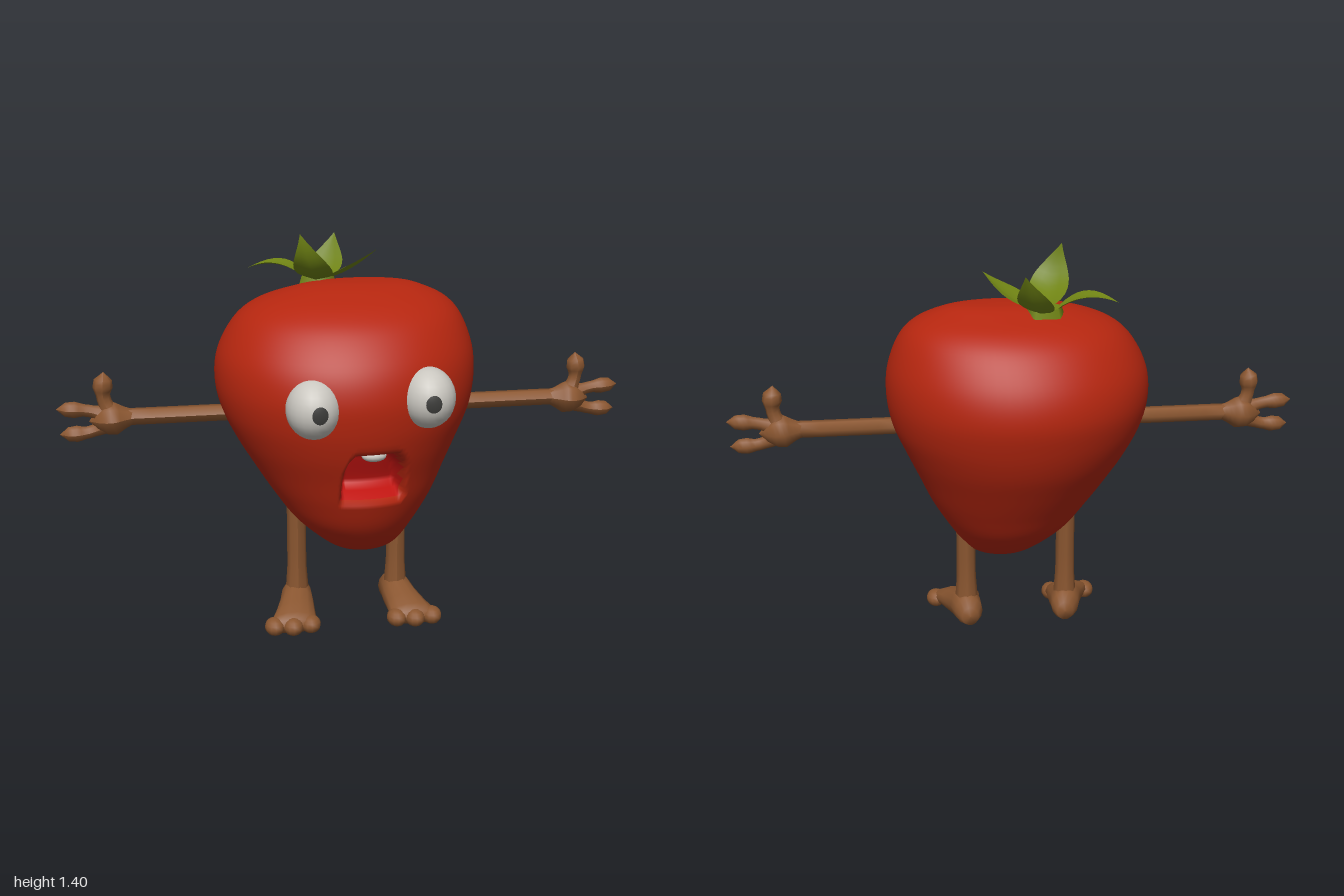
import * as THREE from 'three';

const material = (name, color, side = THREE.FrontSide) => {
  const m = new THREE.MeshStandardMaterial({ color, side });
  m.name = name;
  return m;
};
const red = material('berry red', 0xb5260f);
const mouthRed = material('mouth red', 0xc01410);
const brown = material('limb brown', 0x8a5630);
const white = material('eye white', 0xcac7c0);
const dark = material('pupil grey', 0x3c3c3a);
const green = material('leaf green', 0x708414, THREE.DoubleSide);

const V = (x, y, z) => new THREE.Vector3(x, y, z);
const { smoothstep } = THREE.MathUtils;

function add(parent, name, geometry, mat) {
  const mesh = new THREE.Mesh(geometry, mat);
  mesh.name = name;
  parent.add(mesh);
  return mesh;
}

// Surface from rows of points; closed grids wrap around. pick(i, j) sorts quads into two material groups.
function grid(cols, rows, point, closed, pick = () => 0) {
  const pos = [], lists = [[], []], w = closed ? cols : cols + 1;
  for (let j = 0; j <= rows; j++)
    for (let i = 0; i < w; i++) pos.push(...point(i / cols, j / rows, i, j).toArray());
  for (let j = 0; j < rows; j++)
    for (let i = 0; i < cols; i++) {
      const i2 = (i + 1) % w;
      const a = j * w + i, b = j * w + i2, c = b + w, d = a + w;
      lists[pick(a, b, c, d, pos)].push(a, b, c, a, c, d);
    }
  const g = new THREE.BufferGeometry();
  g.setAttribute('position', new THREE.Float32BufferAttribute(pos, 3));
  g.setIndex([...lists[0], ...lists[1]]);
  g.addGroup(0, lists[0].length, 0);
  if (lists[1].length) g.addGroup(lists[0].length, lists[1].length, 1);
  g.computeVertexNormals();
  return g;
}

// Tube whose radius follows a list of values along its path
function limb(points, radii, sides = 8) {
  const curve = new THREE.CatmullRomCurve3(points);
  const seg = (radii.length - 1) * 2;
  const g = new THREE.TubeGeometry(curve, seg, 1, sides);
  const p = g.attributes.position, v = V(0, 0, 0);
  for (let i = 0; i <= seg; i++) {
    const c = curve.getPointAt(i / seg), k = Math.floor(i / 2);
    const r = i % 2 ? (radii[k] + radii[k + 1]) / 2 : radii[k];
    for (let j = 0; j <= sides; j++) {
      const n = i * (sides + 1) + j;
      v.fromBufferAttribute(p, n).sub(c).multiplyScalar(r).add(c);
      p.setXYZ(n, v.x, v.y, v.z);
    }
  }
  g.computeVertexNormals();
  return g;
}

// Body profile: height, right edge, left edge, back edge, front edge
const profile = [
  [0.272, 0.045, 0.045, 0.045, 0.045], [0.28, -0.02, 0.11, -0.01, 0.1],
  [0.31, -0.085, 0.175, -0.075, 0.155], [0.4, -0.19, 0.24, -0.175, 0.235],
  [0.5, -0.265, 0.3, -0.245, 0.285], [0.6, -0.33, 0.345, -0.31, 0.322],
  [0.7, -0.39, 0.39, -0.37, 0.36], [0.8, -0.437, 0.432, -0.41, 0.385],
  [0.9, -0.457, 0.45, -0.43, 0.39], [1.0, -0.445, 0.445, -0.41, 0.36],
  [1.1, -0.39, 0.41, -0.35, 0.285], [1.16, -0.315, 0.36, -0.28, 0.2],
  [1.2, -0.2, 0.28, -0.185, 0.1], [1.22, -0.09, 0.2, -0.12, 0.02],
  [1.225, 0.05, 0.05, -0.05, -0.05],
];

// How far a point of the face lies inside the mouth outline
function mouthInset(x, y) {
  const t = Math.max(0, (y - 0.53) / 0.21);
  const half = 0.115 * Math.sqrt(Math.max(0, 1 - t ** 4));
  return Math.min((y - 0.52) * 0.6, 0.72 - y, half - Math.abs(x - 0.04));
}

function bodyGeometry() {
  const low = new THREE.CatmullRomCurve3(profile.map(([y, l, , b]) => V(l, y, b)), false, 'catmullrom');
  const high = new THREE.CatmullRomCurve3(profile.map(([y, , r, , f]) => V(r, y, f)), false, 'catmullrom');
  const point = (u, v) => {
    // Columns gather towards the front, where the mouth is pressed in
    const a = 2 * Math.PI * u - 0.6 * Math.sin(2 * Math.PI * u);
    const p = low.getPoint(v), q = high.getPoint(v);
    const x = (p.x + q.x) / 2 + Math.sin(a) * (q.x - p.x) / 2;
    let z = (p.z + q.z) / 2 + Math.cos(a) * (q.z - p.z) / 2;
    if (Math.cos(a) > 0) z -= 0.12 * smoothstep(mouthInset(x, p.y), 0, 0.03);
    return V(x, p.y, z);
  };
  const pick = (a, b, c, d, pos) =>
    [a, c].every((n) => pos[n * 3 + 2] > 0 && mouthInset(pos[n * 3], pos[n * 3 + 1]) > 0.006) ? 1 : 0;
  return grid(120, 84, point, true, pick);
}

function addEye(parent, x, y, px, py) {
  const eye = new THREE.Group();
  eye.name = 'eye';
  add(eye, 'eyeball', new THREE.SphereGeometry(1, 24, 16), white);
  const pupil = add(eye, 'pupil', new THREE.SphereGeometry(1.01, 20, 3, 0, Math.PI * 2, 0, 0.29), dark);
  pupil.quaternion.setFromUnitVectors(V(0, 1, 0), V(px, py, 1).normalize());
  eye.position.set(x, y, 0.322);
  eye.scale.set(0.092, 0.102, 0.105);
  parent.add(eye);
}

function addArm(parent, s) {
  const arm = new THREE.Group();
  arm.name = s > 0 ? 'leftArm' : 'rightArm';
  const piece = (name, pts, radii, sides) =>
    add(arm, name, limb(pts.map(([x, y]) => V(x * s, y, 0)), radii, sides), brown);
  piece('forearm', [[0.38, 0.785], [0.78, 0.785]], [0.03, 0.03, 0.03], 6);
  piece('palm', [[0.74, 0.785], [0.89, 0.775]], [0.026, 0.04, 0.058, 0.055, 0.035, 0]);
  piece('thumb', [[0.815, 0.79], [0.838, 0.86], [0.834, 0.946]], [0.036, 0.03, 0.024, 0.024, 0.034, 0.03, 0]);
  piece('upperFinger', [[0.82, 0.79], [0.89, 0.812], [0.998, 0.822]], [0.035, 0.028, 0.022, 0.022, 0.029, 0.025, 0]);
  piece('lowerFinger', [[0.82, 0.765], [0.89, 0.737], [0.99, 0.732]], [0.035, 0.028, 0.022, 0.022, 0.029, 0.025, 0]);
  parent.add(arm);
}

// Foot sections: z, centre x, centre y, half width, half height
const footSections = [
  [-0.072, 0.175, 0.06, 0, 0], [-0.068, 0.175, 0.06, 0.03, 0.035], [-0.045, 0.178, 0.072, 0.05, 0.055],
  [0, 0.185, 0.075, 0.057, 0.062], [0.04, 0.19, 0.065, 0.062, 0.057], [0.1, 0.203, 0.053, 0.072, 0.046],
  [0.15, 0.215, 0.043, 0.083, 0.037], [0.175, 0.22, 0.036, 0.08, 0.026], [0.185, 0.22, 0.036, 0, 0],
];

function addLeg(parent, s) {
  const leg = new THREE.Group();
  leg.name = s > 0 ? 'leftLeg' : 'rightLeg';
  add(leg, 'shin', limb([V(0.182 * s, 0.47, 0), V(0.182 * s, 0.06, 0)], [0.035, 0.034, 0.035, 0.045], 8), brown);
  add(leg, 'foot', grid(14, footSections.length - 1, (u, v, i, j) => {
    const [z, cx, cy, rx, ry] = footSections[j], a = u * Math.PI * 2;
    return V(cx * s + rx * Math.cos(a), Math.max(0.012, cy + ry * Math.sin(a)), z);
  }, true), brown);
  for (const k of [-1, 0, 1]) {
    const toe = add(leg, 'toe', new THREE.SphereGeometry(1, 12, 8), brown);
    toe.position.set((0.22 + 0.064 * k) * s, 0.034, 0.17 - 0.012 * Math.abs(k));
    toe.scale.set(0.036, 0.032, 0.042);
  }
  parent.add(leg);
}

function addLeaf(parent, base, bend, tip, width) {
  const curve = new THREE.QuadraticBezierCurve3(base, bend, tip);
  const across = V(tip.z - base.z, 0, base.x - tip.x).normalize();
  add(parent, 'leaf', grid(4, 10, (u, v) => {
    const w = width * (0.5 * (1 - v) + 0.85 * Math.sin(Math.PI * v ** 0.9)) * (1 - 0.25 * v);
    const p = curve.getPoint(v).addScaledVector(across, (u - 0.5) * w);
    p.y += 0.12 * w * Math.abs(u - 0.5) * 2;
    return p;
  }, false), green);
}

export function createModel() {
  const model = new THREE.Group();
  model.name = 'strawberryFigure';
  add(model, 'body', bodyGeometry(), [red, mouthRed]);

  // Face
  addEye(model, -0.165, 0.875, 0.08, 0.02);
  addEye(model, 0.215, 0.895, -0.03, 0.02);
  const tooth = add(model, 'tooth', new THREE.SphereGeometry(1, 14, 10), white);
  tooth.position.set(0.036, 0.703, 0.325);
  tooth.scale.set(0.042, 0.02, 0.025);

  // Limbs
  for (const s of [1, -1]) {
    addArm(model, s);
    addLeg(model, s);
  }

  // Leaf crown
  const crown = new THREE.Group();
  crown.name = 'crown';
  const hub = add(crown, 'crownHub', new THREE.CylinderGeometry(0.06, 0.07, 0.03, 5), green);
  hub.position.set(-0.08, 1.212, -0.145);
  addLeaf(crown, V(-0.09, 1.22, -0.1), V(-0.12, 1.24, 0.07), V(-0.165, 1.4, 0.045), 0.135);
  addLeaf(crown, V(-0.06, 1.21, -0.18), V(-0.03, 1.23, -0.24), V(0.005, 1.357, -0.28), 0.125);
  addLeaf(crown, V(-0.04, 1.22, -0.135), V(0.03, 1.24, -0.1), V(0.118, 1.33, -0.05), 0.12);
  addLeaf(crown, V(-0.12, 1.22, -0.16), V(-0.21, 1.29, -0.19), V(-0.312, 1.25, -0.215), 0.115);
  model.add(crown);
  return model;
}
